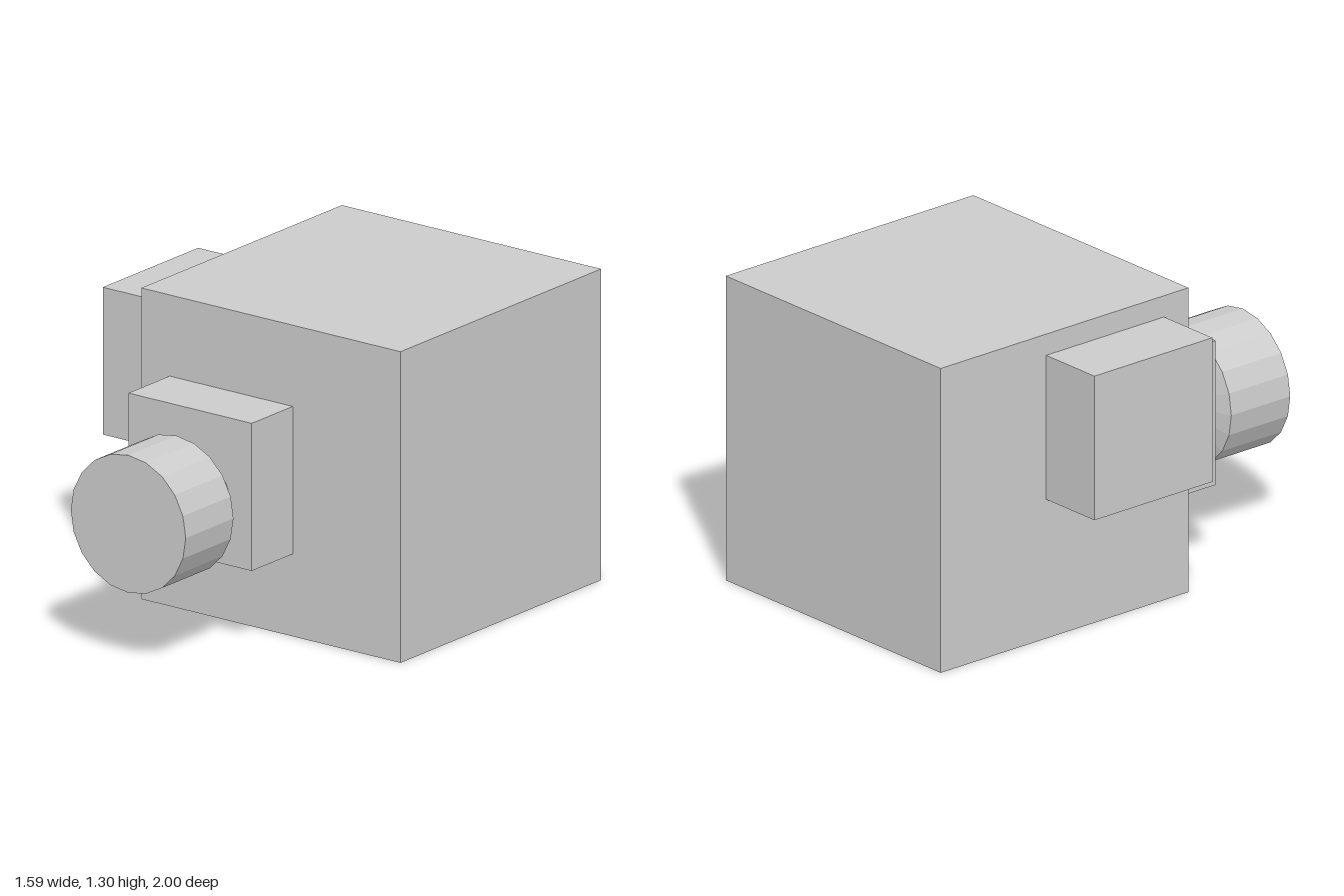
import * as THREE from 'three';

const material = new THREE.MeshStandardMaterial({ color: 0xcccccc, flatShading: true });

// Box given by its lower and upper limits on each axis
function block(name, [x0, x1], [y0, y1], [z0, z1]) {
  const mesh = new THREE.Mesh(new THREE.BoxGeometry(x1 - x0, y1 - y0, z1 - z0), material);
  mesh.position.set((x0 + x1) / 2, (y0 + y1) / 2, (z0 + z1) / 2);
  mesh.name = name;
  return mesh;
}

// Turned part along z from [radius, z] pairs
function turned(name, profile, sides) {
  const points = profile.map(([r, z]) => new THREE.Vector2(r, z));
  const geometry = new THREE.LatheGeometry(points, sides);
  geometry.rotateX(Math.PI / 2);
  const mesh = new THREE.Mesh(geometry, material);
  mesh.name = name;
  return mesh;
}

export function createModel() {
  const model = new THREE.Group();
  model.name = 'camera';

  // Body with the side and front housings
  model.add(
    block('body', [-0.505, 0.795], [0, 1.303], [-1, 0.303]),
    block('sideHousing', [-0.797, -0.505], [0.595, 1.212], [-0.445, 0.175]),
    block('frontHousing', [-0.363, 0.255], [0.345, 0.963], [0.303, 0.57]),
  );

  // Neck with shallow ridges, then the bevelled faceted barrel
  const knob = new THREE.Group();
  knob.name = 'knob';
  knob.position.set(-0.032, 0.597, 0);
  const ridges = [];
  for (let i = 0; i <= 6; i++) ridges.push([i % 2 ? 0.178 : 0.182, 0.565 + i * 0.015]);
  knob.add(
    turned('neck', ridges, 40),
    turned('barrel', [[0, 0.652], [0.183, 0.652], [0.288, 0.69], [0.288, 1], [0, 1]], 20),
  );
  model.add(knob);
  return model;
}
